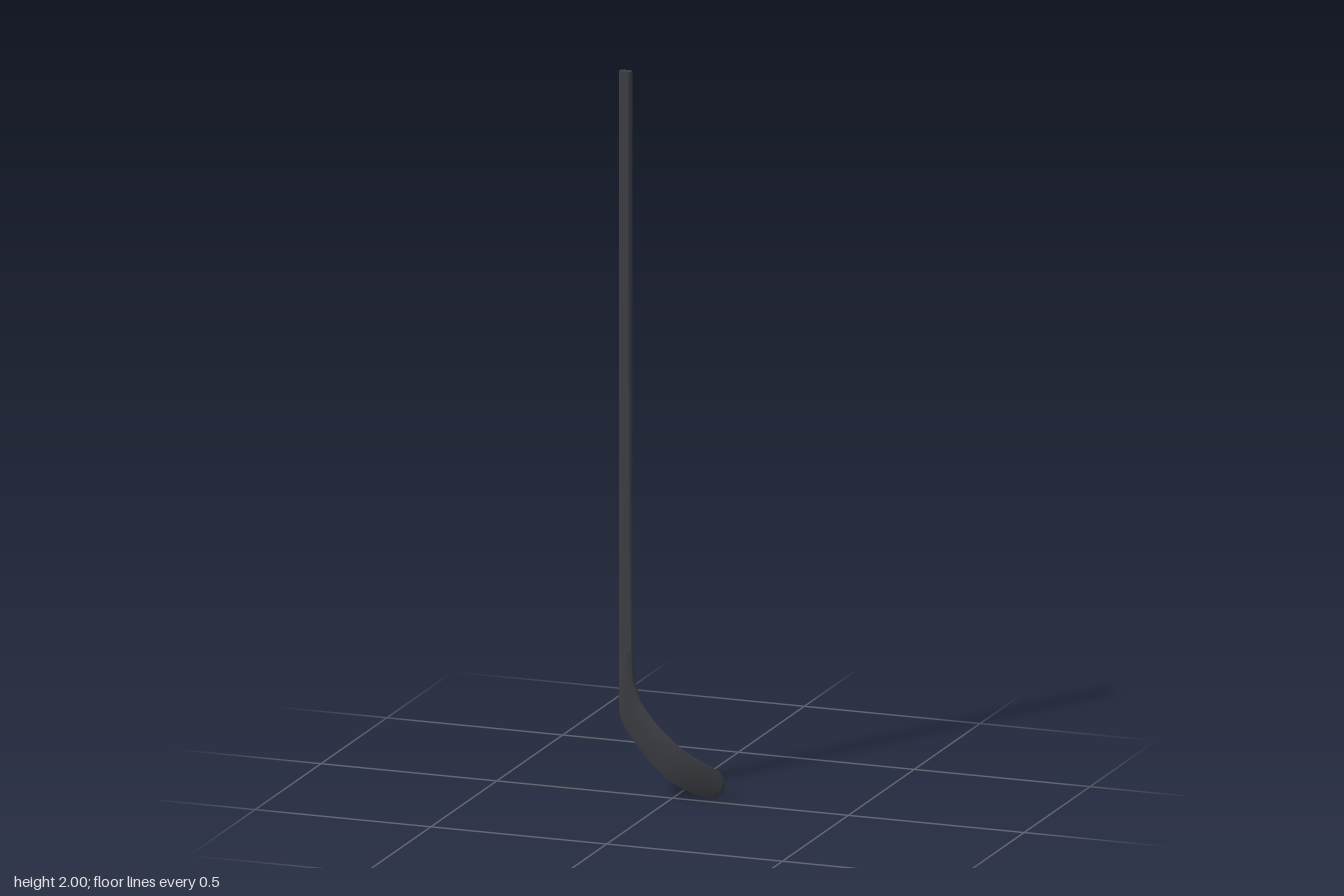
import * as THREE from 'three';
import { toCreasedNormals } from 'three/addons/utils/BufferGeometryUtils.js';

// Stations from butt to toe: heel-side edge (x, y, z), inner edge (x, y, z), thickness
const stations = [
  [-0.142, 2.0, 0.023, -0.108, 2.0, 0.023, 0.022],
  [-0.142, 1.3, 0.023, -0.108, 1.3, 0.023, 0.021],
  [-0.142, 0.9, 0.024, -0.107, 0.9, 0.024, 0.018],
  [-0.142, 0.6, 0.024, -0.105, 0.6, 0.024, 0.017],
  [-0.142, 0.4, 0.024, -0.102, 0.4, 0.024, 0.016],
  [-0.142, 0.29, 0.024, -0.1, 0.325, 0.024, 0.014],
  [-0.141, 0.228, 0.023, -0.08, 0.265, 0.023, 0.012],
  [-0.126, 0.187, 0.022, -0.055, 0.226, 0.022, 0.011],
  [-0.07, 0.114, 0.019, -0.014, 0.181, 0.019, 0.01],
  [-0.008, 0.051, 0.01, 0.037, 0.136, 0.011, 0.008],
  [0.05, 0.014, -0.014, 0.085, 0.105, -0.002, 0.008],
  [0.082, 0.001, -0.028, 0.118, 0.086, -0.012, 0.007],
  [0.104, 0.001, -0.034, 0.133, 0.07, -0.018, 0.006],
  [0.122, 0.011, -0.034, 0.139, 0.056, -0.022, 0.005],
  [0.135, 0.029, -0.031, 0.14, 0.043, -0.026, 0.003],
];
const JOINT = 4; // station where shaft meets blade

// Chamfered outline: u across the width, v through the thickness, both -1..1
const shaftOutline = (w, t) => {
  const c = t * 0.22, u = 1 - c / (w / 2), v = 1 - c / (t / 2);
  return [[-1, -v], [-u, -1], [0, -1], [u, -1], [1, -v], [1, v], [u, 1], [0, 1], [-u, 1], [-1, v]];
};
// Thin section with rounded edges
const bladeOutline = [
  [-1, -0.45], [-0.85, -0.95], [0, -1], [0.85, -0.95], [1, -0.45],
  [1, 0.45], [0.85, 0.95], [0, 1], [-0.85, 0.95], [-1, 0.45],
];

const curve = (f) => new THREE.CatmullRomCurve3(stations.map(f), false, 'centripetal');
const outer = curve((s) => new THREE.Vector3(s[0], s[1], s[2]));
const inner = curve((s) => new THREE.Vector3(s[3], s[4], s[5]));
const last = stations.length - 1;
const midAt = (t) => outer.getPoint(t).lerp(inner.getPoint(t), 0.5);

// One cross-section at station s (may be fractional)
function ring(s) {
  const t = s / last, a = outer.getPoint(t), b = inner.getPoint(t);
  const i = Math.min(Math.floor(s), last - 1);
  const thick = THREE.MathUtils.lerp(stations[i][6], stations[i + 1][6], s - i);
  const half = b.clone().sub(a).multiplyScalar(0.5), mid = a.clone().add(half);
  const along = midAt(Math.min(t + 0.002, 1)).sub(midAt(Math.max(t - 0.002, 0)));
  const normal = along.cross(half).normalize().multiplyScalar(thick / 2);
  const blend = THREE.MathUtils.clamp((s - JOINT) / 3, 0, 1);
  return shaftOutline(half.length() * 2, thick).map(([u, v], k) => {
    const [bu, bv] = bladeOutline[k];
    return mid.clone()
      .addScaledVector(half, THREE.MathUtils.lerp(u, bu, blend))
      .addScaledVector(normal, THREE.MathUtils.lerp(v, bv, blend));
  });
}

// Skin the cross-sections between two stations and close both ends
function loft(from, to, perStation, crease) {
  const n = bladeOutline.length, rows = (to - from) * perStation;
  const pos = [], idx = [];
  for (let r = 0; r <= rows; r++) {
    for (const p of ring(from + r / perStation)) pos.push(p.x, p.y, p.z);
  }
  for (let r = 0; r < rows; r++) {
    for (let k = 0; k < n; k++) {
      const a = r * n + k, b = r * n + ((k + 1) % n);
      idx.push(a, b, a + n, b, b + n, a + n);
    }
  }
  const end = rows * n;
  for (let k = 1; k < n - 1; k++) {
    idx.push(0, k + 1, k, end, end + k, end + k + 1);
  }
  const geo = new THREE.BufferGeometry();
  geo.setAttribute('position', new THREE.Float32BufferAttribute(pos, 3));
  geo.setIndex(idx);
  return toCreasedNormals(geo, crease);
}

export function createModel() {
  const group = new THREE.Group();
  group.name = 'hockeyStick';
  const dark = new THREE.MeshStandardMaterial({ color: 0x3c3d43, side: THREE.DoubleSide });
  const add = (name, geo) => {
    const mesh = new THREE.Mesh(geo, dark);
    mesh.name = name;
    group.add(mesh);
  };
  add('shaft', loft(0, JOINT, 4, 0.6));
  add('blade', loft(JOINT, last, 6, 0.9));
  return group;
}
